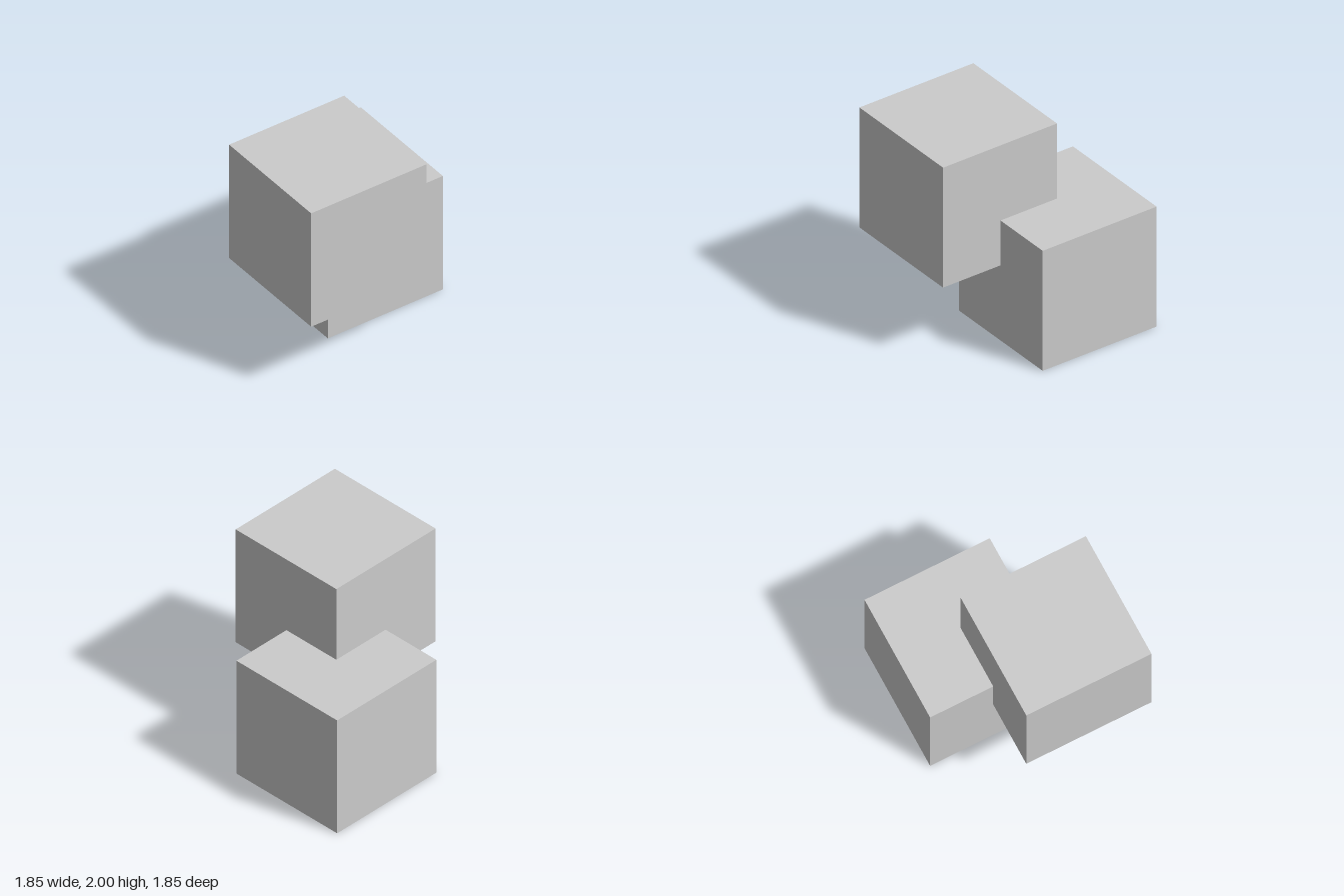
import * as THREE from 'three';

export function createModel() {
  const model = new THREE.Group();
  const material = new THREE.MeshStandardMaterial({ color: 0xcccccc, flatShading: true });
  const size = 1.23;
  const offset = 0.925 - size / 2; // cube centres sit this far from the vertical axis

  // Two equal cubes overlapping at one corner along the diagonal
  const addCube = (name, side, y) => {
    const cube = new THREE.Mesh(new THREE.BoxGeometry(size, size, size), material);
    cube.name = name;
    cube.position.set(side * offset, y, side * offset);
    model.add(cube);
  };
  addCube('lowerCube', -1, size / 2);
  addCube('upperCube', 1, 2 - size / 2);

  return model;
}
